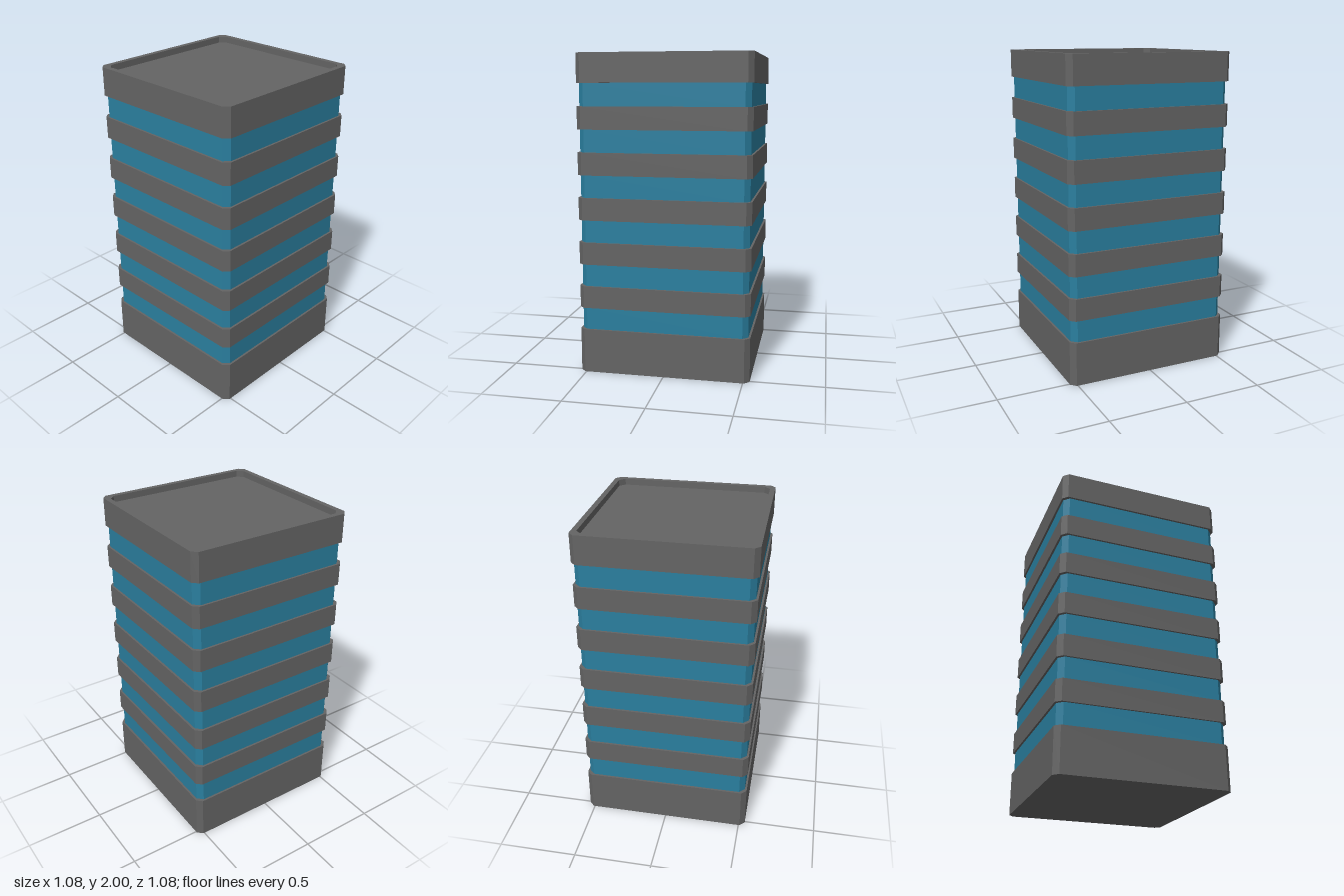
import * as THREE from 'three';

const concrete = new THREE.MeshStandardMaterial({ color: 0x646464, flatShading: true });
const glass = new THREE.MeshStandardMaterial({ color: 0x2a7f9f, flatShading: true });

// Corner points of a square with cut corners
function chamferedSquare(half, cut) {
  const inner = half - cut;
  return [
    [half, -inner], [half, inner], [inner, half], [-inner, half],
    [-half, inner], [-half, -inner], [-inner, -half], [inner, -half],
  ].map(([x, y]) => new THREE.Vector2(x, y));
}

// Upright block between two heights, optionally pierced by an opening
function block(name, outline, bottom, top, material, opening) {
  const shape = new THREE.Shape(outline);
  if (opening) shape.holes.push(new THREE.Path(opening));
  const geometry = new THREE.ExtrudeGeometry(shape, { depth: top - bottom, bevelEnabled: false });
  geometry.rotateX(-Math.PI / 2);
  geometry.translate(0, bottom, 0);
  const mesh = new THREE.Mesh(geometry, material);
  mesh.name = name;
  return mesh;
}

export function createModel() {
  const tower = new THREE.Group();
  tower.name = 'officeTower';

  const wall = chamferedSquare(0.54, 0.032);
  const pane = chamferedSquare(0.527, 0.034);
  const roofOpening = chamferedSquare(0.506, 0.036);
  const baseTop = 0.28, storey = 0.28, bandHeight = 0.14, floors = 6;

  // Ground floor
  tower.add(block('base', wall, 0, baseTop, concrete));

  // Recessed window strips with projecting floor bands between them
  for (let i = 0; i < floors; i++) {
    const y = baseTop + i * storey;
    tower.add(block(`windowStrip${i + 1}`, pane, y, y + bandHeight, glass));
    if (i < floors - 1) {
      tower.add(block(`floorBand${i + 1}`, wall, y + bandHeight, y + storey, concrete));
    }
  }

  // Parapet around a slightly sunken flat roof
  tower.add(block('parapet', wall, 1.82, 2, concrete, roofOpening));
  tower.add(block('roof', roofOpening, 1.82, 1.96, concrete));

  return tower;
}
